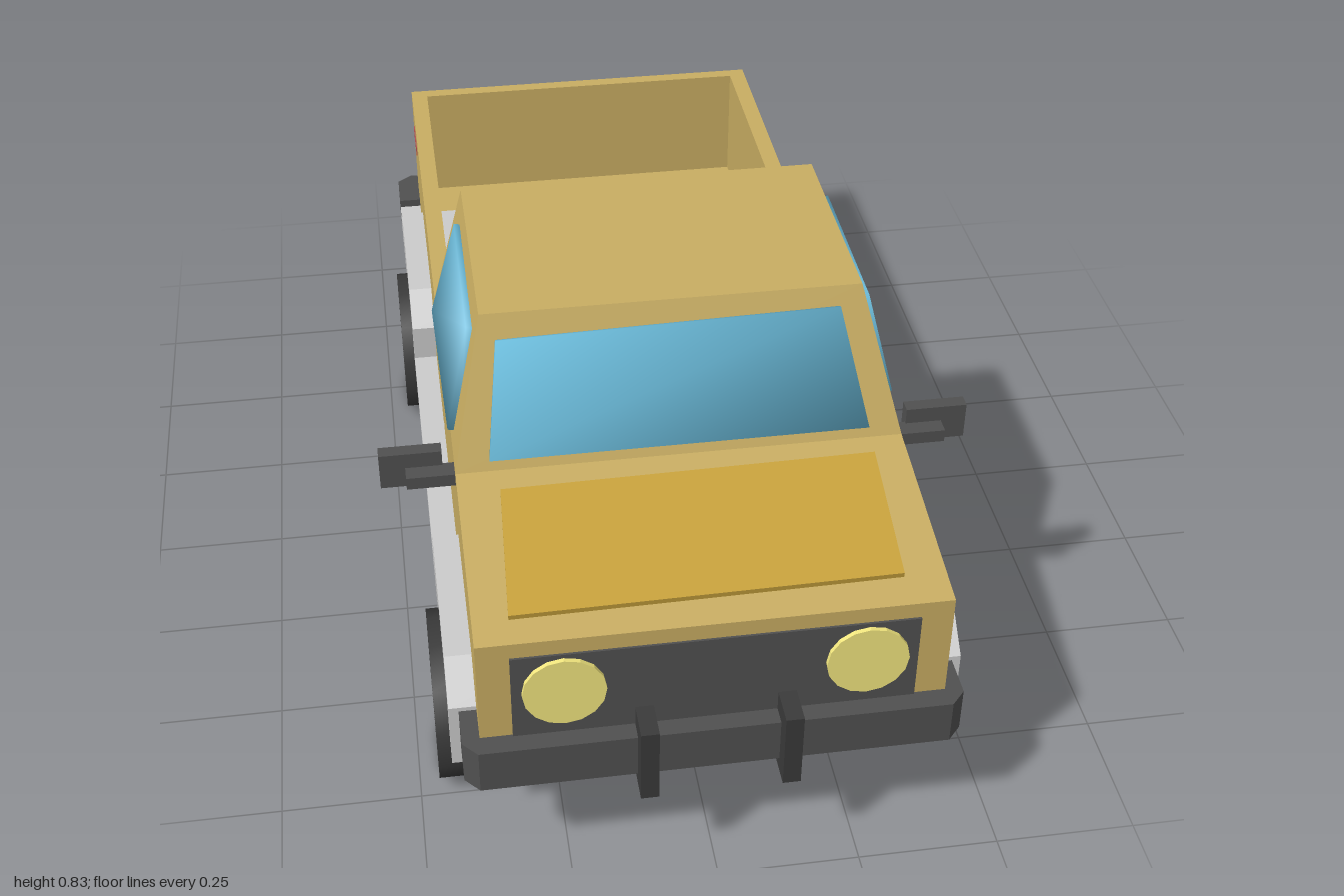
import * as THREE from 'three';
import { toCreasedNormals } from 'three/addons/utils/BufferGeometryUtils.js';

const flat = (color) => new THREE.MeshStandardMaterial({ color, flatShading: true });
const smooth = (color) => new THREE.MeshStandardMaterial({ color });
const paint = flat(0xc8ad62), hoodPaint = flat(0xc8a23c), trim = flat(0xc8c8c8), dark = flat(0x505050);
const black = flat(0x3a3a3a), lamp = flat(0xf2e67e), red = flat(0xb04e4e);
const rubber = smooth(0x3a3a3a), hubGrey = smooth(0x5c5c5c), glass = smooth(0x6cbcdb);

export function createModel() {
  const model = new THREE.Group();

  const add = (name, geometry, material) => {
    const mesh = new THREE.Mesh(geometry, material);
    mesh.name = name;
    model.add(mesh);
  };

  // Box given by its limits on each axis
  const box = (name, material, [x0, x1], [y0, y1], [z0, z1]) =>
    add(name, new THREE.BoxGeometry(x1 - x0, y1 - y0, z1 - z0)
      .translate((x0 + x1) / 2, (y0 + y1) / 2, (z0 + z1) / 2), material);

  const shapeOf = (points) => new THREE.Shape(points.map(([a, b]) => new THREE.Vector2(a, b)));

  // Side profile of [z, y] points, extruded from x0 to x1
  const sideExtrude = (points, x0, x1) =>
    new THREE.ExtrudeGeometry(shapeOf(points), { depth: x1 - x0, bevelEnabled: false })
      .rotateY(-Math.PI / 2).translate(x1, 0, 0);

  // Plan outline of [x, z] points, extruded from y0 to y1
  const planExtrude = (points, y0, y1) =>
    new THREE.ExtrudeGeometry(shapeOf(points.map(([x, z]) => [x, -z])), { depth: y1 - y0, bevelEnabled: false })
      .rotateX(-Math.PI / 2).translate(0, y0, 0);

  // Solid between an inner quad and an outer quad, both anticlockwise from outside
  const hexahedron = (inner, outer) => {
    const positions = [];
    const quad = (a, b, c, d) => positions.push(...[a, b, c, a, c, d].flat());
    quad(...outer);
    quad(...[...inner].reverse());
    for (let i = 0; i < 4; i++) {
      const j = (i + 1) % 4;
      quad(inner[i], inner[j], outer[j], outer[i]);
    }
    const geometry = new THREE.BufferGeometry();
    geometry.setAttribute('position', new THREE.Float32BufferAttribute(positions, 3));
    geometry.computeVertexNormals();
    return geometry;
  };

  // Thin plate standing proud of a flat surface
  const plate = (corners, thickness) => {
    const v = corners.map((c) => new THREE.Vector3(...c));
    const normal = v[1].clone().sub(v[0]).cross(v[3].clone().sub(v[0])).normalize();
    const shifted = (t) => v.map((p) => p.clone().addScaledVector(normal, t).toArray());
    return hexahedron(shifted(-0.01), shifted(thickness));
  };
  // Window pane with normals rounded over its edges
  const pane = (name, corners) => add(name, toCreasedNormals(plate(corners, 0.011), Math.PI), glass);
  const mirrored = (corners) => corners.map(([x, y, z]) => [-x, y, z]).reverse();

  // Cab body with open front wheel arches
  const frontAxle = 0.64, rearAxle = -0.48;
  add('cabBody', sideExtrude([
    [-0.004, 0.215], [0.445, 0.215], [0.445, 0.31], [0.49, 0.35], [0.79, 0.35], [0.835, 0.31],
    [0.835, 0.25], [0.93, 0.25], [0.93, 0.525], [0.555, 0.58], [-0.004, 0.58],
  ], -0.395, 0.395), paint);

  // Tapered cab top
  const level = (x, y, zFront, zBack) => [[-x, y, zFront], [x, y, zFront], [x, y, zBack], [-x, y, zBack]];
  add('cabTop', hexahedron(level(0.395, 0.58, 0.555, -0.004), level(0.335, 0.83, 0.44, 0.025)), paint);

  // Windows
  pane('windscreen', [[-0.335, 0.598, 0.547], [0.335, 0.598, 0.547], [0.293, 0.797, 0.455], [-0.31, 0.788, 0.459]]);
  pane('rearWindow', [[0.325, 0.575, -0.004], [-0.325, 0.575, -0.004], [-0.29, 0.79, 0.02], [0.29, 0.79, 0.02]]);
  const sideX = (y) => 0.395 - 0.24 * (y - 0.58);
  const sideWindow = [[0.457, 0.6], [0.055, 0.582], [0.09, 0.795], [0.415, 0.785]]
    .map(([z, y]) => [sideX(y), y, z]);
  pane('leftWindow', sideWindow);
  pane('rightWindow', mirrored(sideWindow));

  // Raised bonnet panel
  const hoodY = (z) => 0.525 + (0.93 - z) * 0.147;
  add('bonnetPanel', plate([[-0.335, 0.88], [0.322, 0.872], [0.335, 0.6], [-0.322, 0.608]]
    .map(([x, z]) => [x, hoodY(z), z]), 0.01), hoodPaint);

  // Cargo bed: floor, end walls, and side walls added with the mirrored parts
  box('bedFloor', paint, [-0.36, 0.36], [0.25, 0.27], [-0.93, -0.06]);
  box('bedFrontWall', paint, [-0.36, 0.36], [0.25, 0.52], [-0.06, -0.023]);
  box('tailgate', paint, [-0.36, 0.36], [0.25, 0.52], [-0.955, -0.927]);

  // Front face and bumpers
  box('grille', dark, [-0.34, 0.34], [0.26, 0.495], [0.91, 0.934]);
  add('frontBumper', planExtrude([
    [-0.425, 0.865], [0.425, 0.865], [0.425, 0.94], [0.4, 0.967], [-0.4, 0.967], [-0.425, 0.94],
  ], 0.237, 0.322), dark);
  add('rearBumper', planExtrude([
    [-0.442, -0.885], [-0.442, -0.975], [-0.412, -1], [0.412, -1], [0.442, -0.975], [0.442, -0.885],
  ], 0.19, 0.267), dark);

  // Arch outline for one axle, used for the wheel wells and their flares
  const arch = (z) => [
    [0.22, 0.195], [0.22, 0.325], [0.155, 0.383], [-0.155, 0.383], [-0.22, 0.325], [-0.22, 0.195],
    [-0.16, 0.195], [-0.16, 0.293], [-0.125, 0.322], [0.125, 0.322], [0.16, 0.293], [0.16, 0.195],
  ].map(([dz, y]) => [z + dz, y]);

  // Wheel: twelve-sided tyre with a recessed hub
  const tyreProfile = [[0, 0], [0.152, 0], [0.152, 0.155], [0.095, 0.155], [0.085, 0.115]]
    .map(([r, h]) => new THREE.Vector2(r, h));
  const phase = Math.PI / 12;
  const tyreGeometry = toCreasedNormals(new THREE.LatheGeometry(tyreProfile, 12, phase), 0.7);
  const hubGeometry = new THREE.CylinderGeometry(0.089, 0.089, 0.02, 12, 1, false, phase);

  for (const side of [1, -1]) {
    const label = side > 0 ? 'left' : 'right';
    const span = (a, b) => (side > 0 ? [a, b] : [-b, -a]);

    for (const [end, z] of [['Front', frontAxle], ['Rear', rearAxle]]) {
      add(`${label}${end}WheelArch`, sideExtrude(arch(z), ...span(0.22, 0.442)), trim);

      const wheel = new THREE.Group();
      wheel.name = `${label}${end}Wheel`;
      const tyre = new THREE.Mesh(tyreGeometry, rubber);
      tyre.name = 'tyre';
      const hub = new THREE.Mesh(hubGeometry, hubGrey);
      hub.name = 'hub';
      hub.position.y = 0.11;
      wheel.add(tyre, hub);
      wheel.rotation.z = -side * Math.PI / 2;
      wheel.position.set(side * 0.31, 0.147, z);
      model.add(wheel);
    }

    // Bed side wall
    box(`${label}BedWall`, paint, span(0.36, 0.395), [0.25, 0.52], [-0.955, -0.023]);

    // Sills
    box(`${label}Sill`, trim, span(0.36, 0.442), [0.197, 0.25], [-0.27, 0.43]);
    box(`${label}RearSill`, trim, span(0.36, 0.442), [0.197, 0.25], [-0.89, -0.69]);

    // Headlight
    add(`${label}Headlight`, new THREE.CylinderGeometry(0.07, 0.07, 0.03, 16)
      .rotateX(Math.PI / 2).translate(side * 0.253, 0.418, 0.927), lamp);

    // Bumper guard
    box(`${label}BumperGuard`, black, span(0.105, 0.136), [0.212, 0.36], [0.89, 1]);

    // Door mirror
    box(`${label}MirrorArm`, dark, span(0.385, 0.48), [0.543, 0.567], [0.505, 0.54]);
    box(`${label}Mirror`, dark, span(0.415, 0.525), [0.527, 0.597], [0.485, 0.51]);

    // Side marker light
    add(`${label}MarkerLight`, sideExtrude(
      [[-0.785, 0.445], [-0.787, 0.465], [-0.865, 0.478], [-0.878, 0.452]], ...span(0.385, 0.397)), red);
  }

  return model;
}
